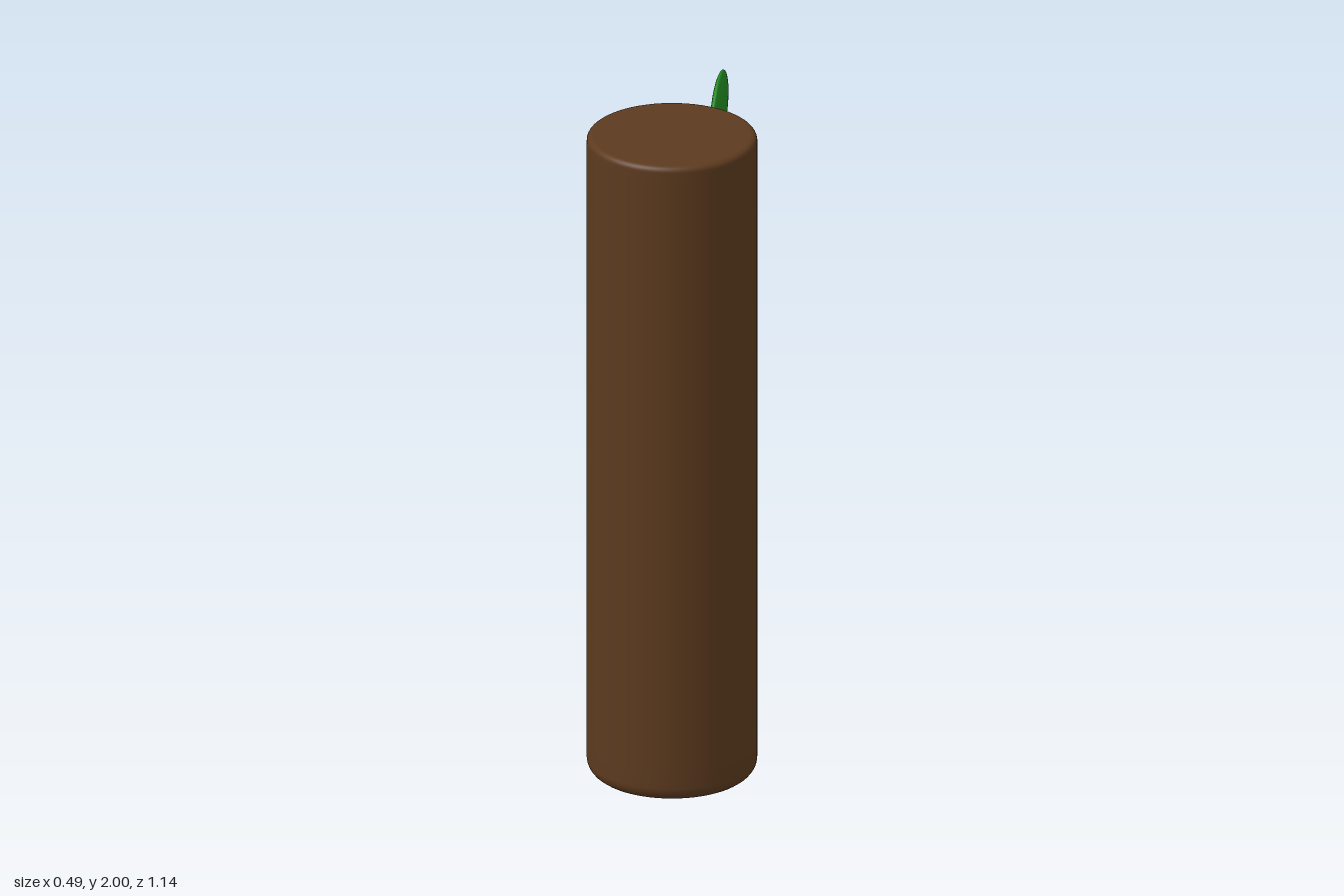
import * as THREE from 'three';

const bark = new THREE.MeshStandardMaterial({ color: 0x5c3a1e });
const green = new THREE.MeshStandardMaterial({ color: 0x228b22 });

function addPart(group, name, geometry, material, position, tilt = 0) {
  const mesh = new THREE.Mesh(geometry, material);
  mesh.name = name;
  mesh.position.set(...position);
  mesh.rotation.x = THREE.MathUtils.degToRad(tilt);
  group.add(mesh);
  return mesh;
}

// Quarter-round edge points, from angle a0 to a1 about (cx, cy)
function arc(cx, cy, r, a0, a1, steps = 6) {
  return Array.from({ length: steps + 1 }, (_, i) => {
    const a = a0 + ((a1 - a0) * i) / steps;
    return new THREE.Vector2(cx + r * Math.cos(a), cy + r * Math.sin(a));
  });
}

export function createModel() {
  const group = new THREE.Group();
  group.name = 'logWithBranch';

  // Trunk: cylinder with a softer bottom edge and a tight top edge
  const R = 0.247, low = 0.045, high = 0.018;
  const trunk = [
    new THREE.Vector2(0, 0),
    new THREE.Vector2(R - low - 0.002, 0),
    ...arc(R - low, low, low, -Math.PI / 2, 0),
    new THREE.Vector2(R, 0.1),
    new THREE.Vector2(R, 1.95),
    ...arc(R - high, 2 - high, high, 0, Math.PI / 2),
    new THREE.Vector2(R - high - 0.002, 2),
    new THREE.Vector2(0, 2),
  ];
  addPart(group, 'trunk', new THREE.LatheGeometry(trunk, 64), bark, [0, 0, 0.325]);

  // Branch: rises backwards at 45 degrees, rooted inside the trunk
  const length = 0.68, end = [0, 1.707, -0.281];
  const branch = new THREE.CylinderGeometry(0.073, 0.073, length, 40);
  branch.translate(0, -length / 2, 0);
  addPart(group, 'branch', branch, bark, end, -45);

  // Leaf: egg-shaped solid flattened sideways, pointed at its stem
  const outline = new THREE.SplineCurve([
    [0, 0], [0.037, 0.026], [0.075, 0.085], [0.092, 0.149],
    [0.09, 0.207], [0.067, 0.257], [0.034, 0.285], [0, 0.294],
  ].map(([x, y]) => new THREE.Vector2(x, y)));
  const profile = outline.getPoints(40).map((p) => p.setX(Math.max(0, p.x)));
  const leaf = addPart(group, 'leaf', new THREE.LatheGeometry(profile, 40), green, [0, 1.672, -0.304], -60.5);
  leaf.scale.x = 0.19;

  return group;
}
